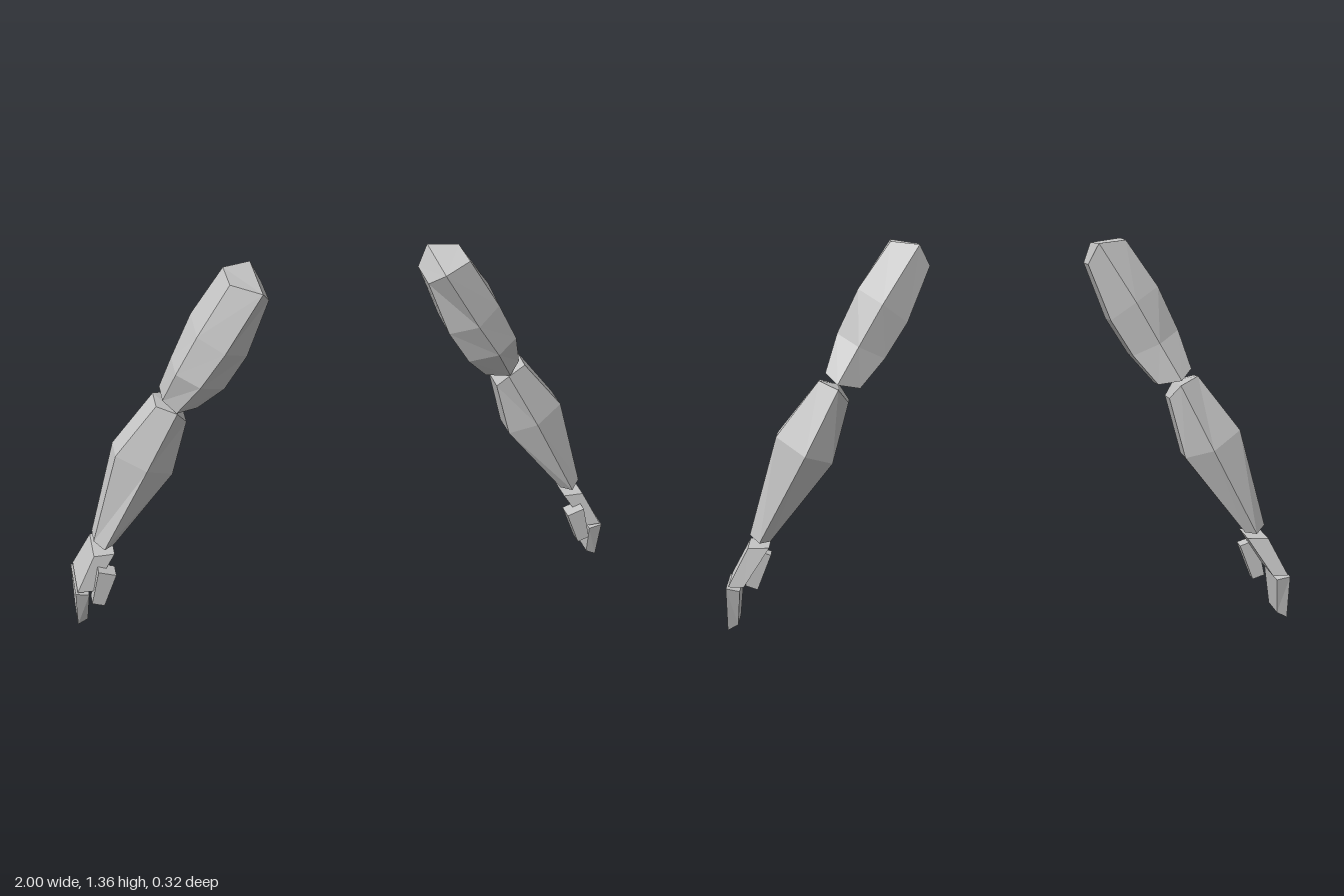
import * as THREE from 'three';

// Faceted solid lofted through rings listed from top to bottom,
// each ring counter-clockwise as seen from above. side = -1 mirrors in x.
function loft(rings, side) {
  const pos = [];
  const tri = (...pts) => {
    if (side < 0) pts.reverse();
    pts.forEach(([x, y, z]) => pos.push(x * side, y, z));
  };
  const quad = (a, b, c, d) => { tri(a, b, c); tri(a, c, d); };
  const n = rings[0].length;
  for (let r = 0; r < rings.length - 1; r++) {
    const u = rings[r], l = rings[r + 1];
    for (let i = 0; i < n; i++) {
      const j = (i + 1) % n;
      quad(u[i], l[i], l[j], u[j]);
    }
  }
  // End caps, folded along the front-back line when six-sided
  const t = rings[0], b = rings[rings.length - 1];
  for (let i = 0; i + 3 < n; i += 2) {
    const k = i === 0 ? [0, 1, 2, 3] : [0, 3, 4, 5];
    quad(...k.map(m => t[m]));
    quad(...k.map(m => b[m]).reverse());
  }
  const g = new THREE.BufferGeometry();
  g.setAttribute('position', new THREE.Float32BufferAttribute(pos, 3));
  g.computeVertexNormals();
  return g;
}

// Four-sided ring: inner and outer [x, y], front and back z
const slab = ([xi, yi], [xo, yo], zf, zb) =>
  [[xi, yi, zf], [xo, yo, zf], [xo, yo, zb], [xi, yi, zb]];

// Six-sided rings: front, outer front, outer back, back, inner back, inner front
const upperArm = [
  [[0.31, 1.335, 0.164], [0.41, 1.355, 0.108], [0.41, 1.358, -0.03], [0.31, 1.35, -0.075], [0.275, 1.275, -0.06], [0.275, 1.27, 0.075]],
  [[0.44, 1.12, 0.146], [0.525, 1.17, 0.095], [0.525, 1.195, -0.038], [0.44, 1.146, -0.1], [0.355, 1.08, -0.07], [0.355, 1.07, 0.075]],
  [[0.525, 0.99, 0.12], [0.6, 1.027, 0.074], [0.6, 1.04, -0.034], [0.525, 1.0, -0.103], [0.435, 0.955, -0.075], [0.435, 0.945, 0.06]],
  [[0.6, 0.857, 0.036], [0.642, 0.893, 0], [0.642, 0.908, -0.08], [0.6, 0.872, -0.128], [0.522, 0.855, -0.1], [0.522, 0.847, -0.005]],
];
const forearm = [
  [[0.597, 0.85, 0.03], [0.665, 0.873, 0], [0.665, 0.882, -0.085], [0.597, 0.855, -0.13], [0.563, 0.805, -0.095], [0.563, 0.8, 0]],
  [[0.715, 0.638, 0.038], [0.816, 0.688, -0.01], [0.816, 0.69, -0.107], [0.715, 0.625, -0.157], [0.622, 0.592, -0.11], [0.622, 0.592, -0.005]],
  [[0.882, 0.317, 0.009], [0.916, 0.34, -0.023], [0.916, 0.34, -0.095], [0.882, 0.315, -0.128], [0.845, 0.315, -0.1], [0.845, 0.317, -0.02]],
];
const palm = [
  slab([0.848, 0.3], [0.922, 0.3], 0.016, -0.135),
  slab([0.938, 0.167], [0.992, 0.169], 0.038, -0.16),
];
const fingers = [
  slab([0.952, 0.152], [1, 0.163], 0.038, -0.16),
  slab([0.963, 0.022], [1, 0.003], 0, -0.128),
];
const thumb = [
  slab([0.851, 0.238], [0.913, 0.26], 0.061, 0),
  slab([0.902, 0.11], [0.945, 0.126], 0.056, 0.005),
];

export function createModel() {
  const grey = new THREE.MeshStandardMaterial({ color: 0xc4c4c4, flatShading: true });
  grey.name = 'grey';
  const model = new THREE.Group();
  model.name = 'arms';
  const parts = { upperArm, forearm, palm, fingers, thumb };
  for (const [side, label] of [[1, 'left'], [-1, 'right']]) {
    const arm = new THREE.Group();
    arm.name = label + 'Arm';
    for (const [name, rings] of Object.entries(parts)) {
      const mesh = new THREE.Mesh(loft(rings, side), grey);
      mesh.name = name;
      arm.add(mesh);
    }
    model.add(arm);
  }
  return model;
}
